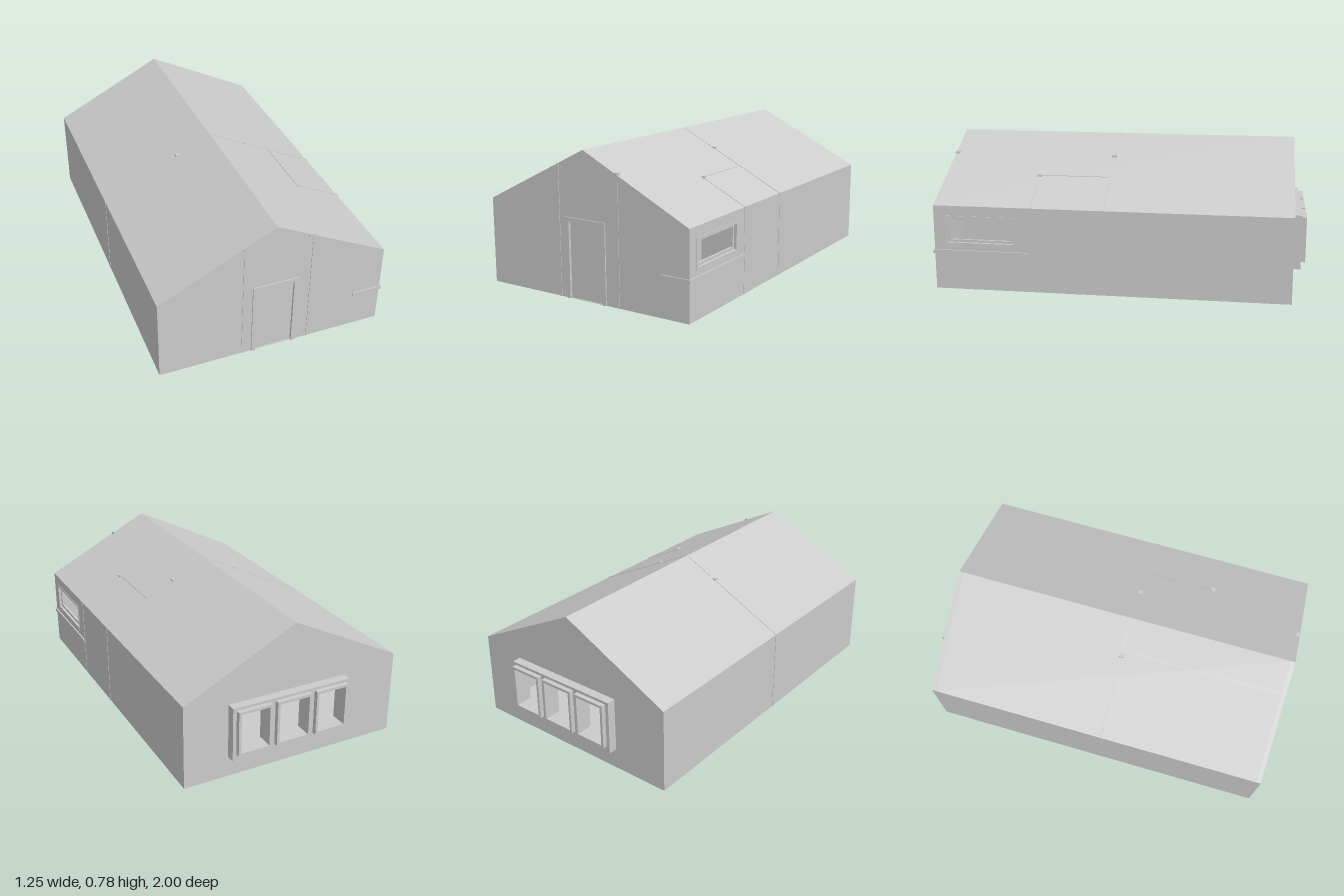
import * as THREE from 'three';

const L = -0.625, R = 0.617, EAVE = 0.465, RIDGE = 0.778, MID = -0.004;
const FRONT = 0.99, BACK = -0.927, T = 0.025;

const material = new THREE.MeshStandardMaterial({ color: 0xcccccc, flatShading: true, side: THREE.DoubleSide });

// Height of the roof surface at x
const roofY = (x) => RIDGE - Math.abs(x - MID) * (RIDGE - EAVE) / (R - MID);

const polygon = (pts) => new THREE.Shape(pts.map(([x, y]) => new THREE.Vector2(x, y)));
const rect = (x0, x1, y0, y1) => polygon([[x0, y0], [x1, y0], [x1, y1], [x0, y1]]);

// Extrude an outline with holes, from z0 to z1
function slab(shape, holes, z0, z1) {
  shape.holes.push(...holes);
  const g = new THREE.ExtrudeGeometry(shape, { depth: z1 - z0, bevelEnabled: false });
  return g.translate(0, 0, z0);
}

// Same, for walls facing x; the outline runs along -z
const sideSlab = (shape, holes, x0, x1) => slab(shape, holes, x0, x1).rotateY(Math.PI / 2);

const box = (x0, x1, y0, y1, z0, z1) =>
  new THREE.BoxGeometry(x1 - x0, y1 - y0, z1 - z0).translate((x0 + x1) / 2, (y0 + y1) / 2, (z0 + z1) / 2);

// Gable outline, grown outward by d
const gable = (d = 0) => polygon([
  [L - d, -Math.min(d, 0)], [R + d, -Math.min(d, 0)],
  [R + d, EAVE + d], [MID, RIDGE + d], [L - d, EAVE + d],
]);

const frame = (x0, x1, y0, y1, w) => [rect(x0, x1, y0, y1), [rect(x0 + w, x1 - w, y0 + w, y1 - w)]];

export function createModel() {
  const house = new THREE.Group();
  house.name = 'house';
  const add = (name, geometry) => {
    const mesh = new THREE.Mesh(geometry, material);
    mesh.name = name;
    house.add(mesh);
  };

  // Floor, plain side wall and roof as one folded section
  const shell = polygon([
    [L, 0], [R, 0], [R, T], [L + T, T], [L + T, EAVE - T * 0.6], [MID, RIDGE - T],
    [R - T, EAVE - T * 0.6], [R - T, EAVE - T], [R, EAVE - T], [R, EAVE], [MID, RIDGE], [L, EAVE],
  ]);
  add('floorRoofAndLeftWall', slab(shell, [], BACK + T, FRONT - T));

  // Side wall with its window opening
  add('windowSideWall', sideSlab(rect(-FRONT + T, -BACK - T, T, EAVE - T),
    [rect(-0.93, -0.54, 0.25, 0.41)], R - T, R));
  add('sideWindowFrame', sideSlab(...frame(-0.93, -0.54, 0.25, 0.41, 0.012), R - T, R + 0.003));
  add('sideWindowSash', sideSlab(...frame(-0.918, -0.552, 0.262, 0.398, 0.014), R - T, R - 0.012));

  // Gable ends
  const doorL = -0.1, doorR = 0.105, doorTop = 0.405;
  add('frontWall', slab(gable(), [rect(doorL, doorR, 0.002, doorTop)], FRONT - T, FRONT));
  add('backWall', slab(gable(), [rect(-0.295, 0.355, 0.135, 0.4)], BACK, BACK + T));

  // Front door and its surround
  add('door', box(doorL, doorR, 0, doorTop, FRONT - T, FRONT - 0.006));
  const surround = polygon([
    [doorL - 0.022, 0], [doorL, 0], [doorL, doorTop], [doorR, doorTop], [doorR, 0],
    [doorR + 0.022, 0], [doorR + 0.022, doorTop + 0.022], [doorL - 0.022, doorTop + 0.022],
  ]);
  add('doorSurround', slab(surround, [], FRONT - T, FRONT + 0.007));

  // Back window: outer frame, sill and three sashes
  const bays = [[-0.29, -0.1], [-0.07, 0.13], [0.16, 0.35]];
  add('backWindowFrame', slab(rect(-0.31, 0.37, 0.135, 0.415),
    bays.map(([a, b]) => rect(a + 0.012, b - 0.012, 0.162, 0.388)), BACK - 0.048, BACK + T));
  add('backWindowSill', box(-0.31, 0.37, 0.115, 0.135, BACK - 0.048, BACK));
  for (const [a, b] of bays) {
    add('backWindowSash', slab(...frame(a, b, 0.15, 0.4, 0.014), BACK - 0.073, BACK - 0.048));
  }

  // Ledge wrapping the front corner
  add('sideLedge', box(R - 0.01, R + 0.008, 0.2, 0.22, 0.47, FRONT + 0.007));
  add('frontLedge', box(0.455, R + 0.008, 0.2, 0.22, FRONT - 0.01, FRONT + 0.007));

  // Cross partition, its edge just showing as a seam
  add('crossPartition', slab(gable(0.002), [], 0.062, 0.078));

  // Hall partitions, their edges showing on the front
  for (const x of [-0.168, 0.202]) {
    const x0 = x - 0.007, x1 = x + 0.007;
    add('hallPartition', slab(polygon([[x0, 0], [x1, 0], [x1, roofY(x1)], [x0, roofY(x0)]]),
      [], 0.07, FRONT + 0.003));
  }

  // Small side room behind the window
  add('sideRoomWall', slab(polygon([[0.36, 0], [R + 0.002, 0], [R + 0.002, EAVE + 0.002], [0.36, roofY(0.36) + 0.002]]),
    [], 0.455, 0.467));
  add('storeWall', slab(polygon([[0.358, 0], [0.366, 0], [0.366, roofY(0.366) + 0.003], [0.358, roofY(0.358) + 0.003]]),
    [], 0.07, 0.46));

  // Little caps where partitions meet the roof
  for (const [x, z] of [[0.19, 0.98], [0.19, 0.07], [-0.19, 0.07], [0.36, 0.46]]) {
    add('roofCap', box(x - 0.018, x + 0.018, roofY(x) - 0.02, roofY(x) + 0.003, z - 0.012, z + 0.012));
  }
  return house;
}
